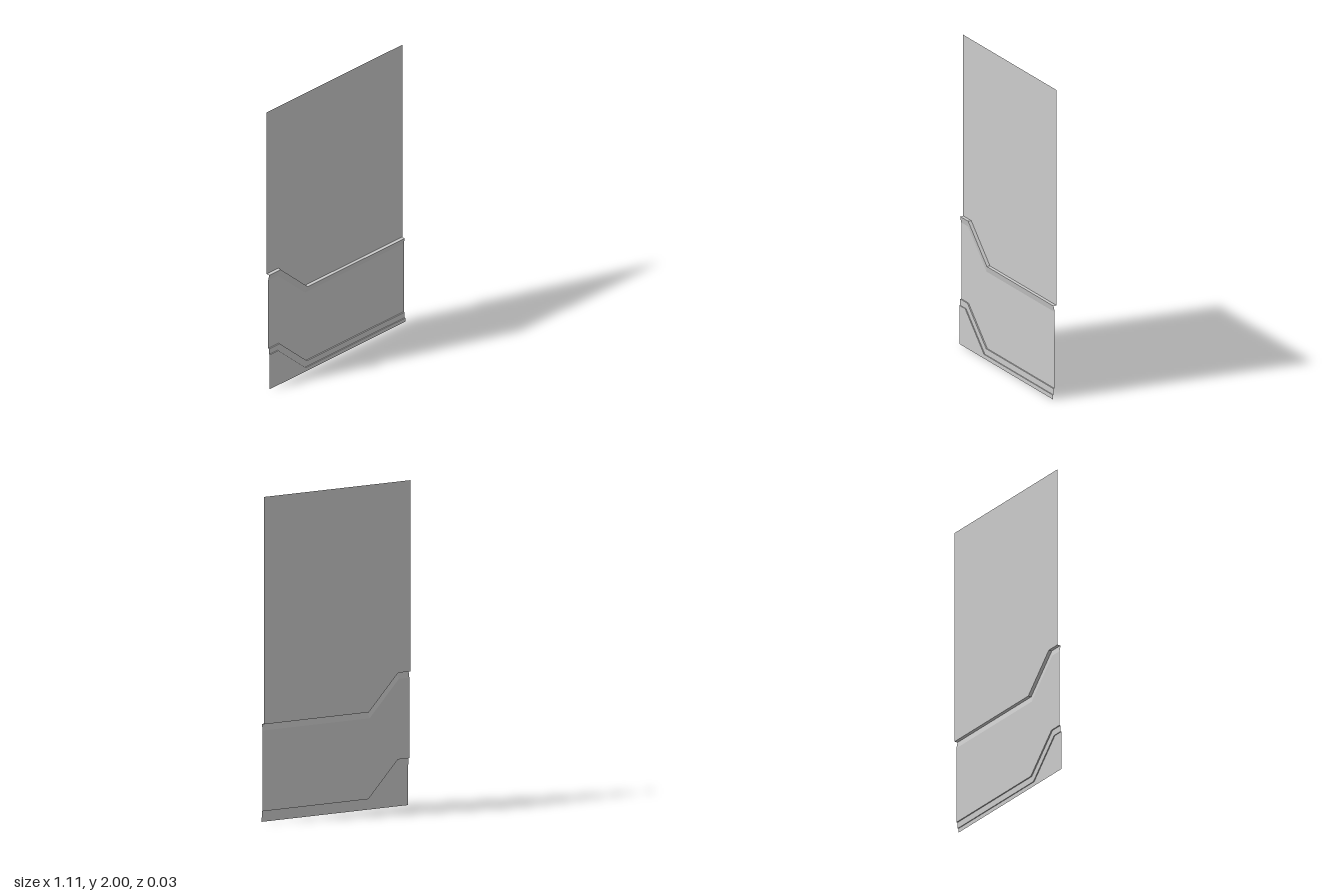
import * as THREE from 'three';

const HALF = 0.555;

// A row is a four-point line across the panel: high on the right, dropping at 45 degrees, then low.
const stepRow = (high, low, cornerX, z) => [
  [-HALF, high, z], [cornerX, high, z], [cornerX + high - low, low, z], [HALF, low, z],
];

// The same row moved down by d, keeping an even band width along the slope.
const lowerRow = (high, low, cornerX, d, z) =>
  stepRow(high - d, low - d, cornerX - d * Math.tan(Math.PI / 8), z);

// Flat row spread over the same x positions as a stepped one.
const flatRow = (y, like, z) => like.map(([x]) => [x, y, z]);

// Thin sheet between an upper and a lower row, facing the front.
function sheet(name, upper, lower, material) {
  const positions = [];
  for (let i = 0; i < upper.length - 1; i++) {
    const a = upper[i], b = upper[i + 1], c = lower[i], d = lower[i + 1];
    positions.push(...a, ...c, ...d, ...a, ...d, ...b);
  }
  const geometry = new THREE.BufferGeometry();
  geometry.setAttribute('position', new THREE.Float32BufferAttribute(positions, 3));
  geometry.computeVertexNormals();
  const mesh = new THREE.Mesh(geometry, material);
  mesh.name = name;
  return mesh;
}

export function createModel() {
  const group = new THREE.Group();
  group.name = 'steppedPanel';
  const material = new THREE.MeshStandardMaterial({
    color: 0xcccccc, side: THREE.DoubleSide, flatShading: true,
  });

  // Depths of the three sheets and of the raised lips
  const back = -0.014, middle = 0, lip = 0.008, front = 0.014;
  const upperLine = [0.825, 0.603, -0.46];
  const lowerLine = [0.29, 0.067, -0.468];
  const band = 0.04;

  // Rows from top to bottom
  const u0 = stepRow(...upperLine, back);
  const u1 = stepRow(...upperLine, lip);
  const u2 = lowerRow(...upperLine, band, middle);
  const l0 = stepRow(...lowerLine, middle);
  const l1 = stepRow(...lowerLine, lip);
  const l2 = lowerRow(...lowerLine, band, lip);
  const l3 = lowerRow(...lowerLine, band, front);

  const parts = [
    ['upperSheet', flatRow(2, u0, back), u0],
    ['upperLedge', u0, u1],
    ['upperBand', u1, u2],
    ['middleSheet', u2, l0],
    ['lowerLedge', l0, l1],
    ['lowerBand', l1, l2],
    ['bottomLedge', l2, l3],
    ['bottomSheet', l3, flatRow(0, l3, front)],
  ];
  for (const [name, upper, lower] of parts) group.add(sheet(name, upper, lower, material));
  return group;
}
